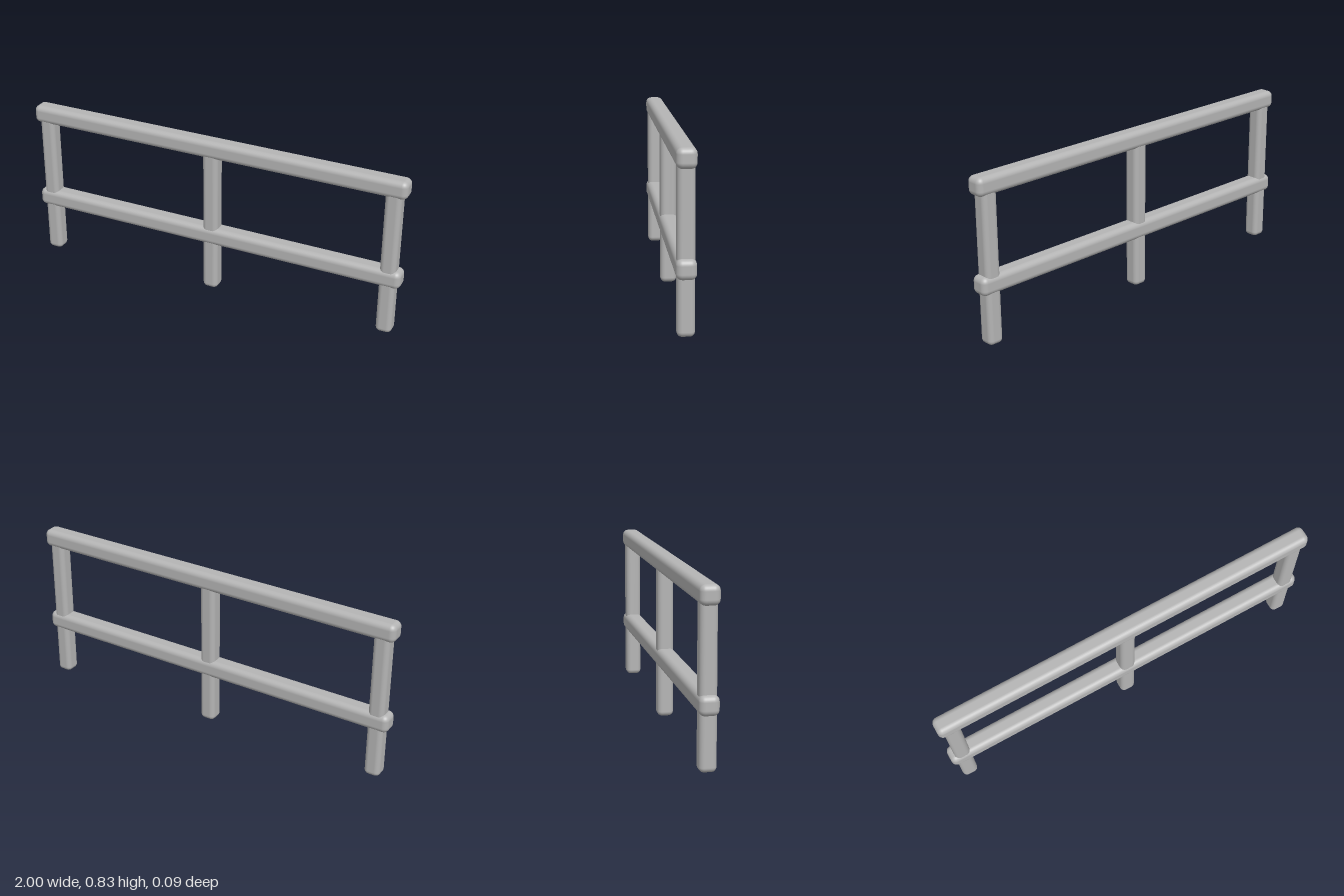
import * as THREE from 'three';
import { RoundedBoxGeometry } from 'three/addons/geometries/RoundedBoxGeometry.js';

const POST = 0.08, RAIL = 0.092;

export function createModel() {
  const group = new THREE.Group();
  group.name = 'fence';
  const grey = new THREE.MeshStandardMaterial({ color: 0xb4b4b4 });
  grey.name = 'grey';

  const addBar = (name, w, h, d, radius, x, y) => {
    const mesh = new THREE.Mesh(new RoundedBoxGeometry(w, h, d, 4, radius), grey);
    mesh.name = name;
    mesh.position.set(x, y, 0);
    group.add(mesh);
  };

  // Upright posts, ending inside the top rail
  const postHeight = 0.79;
  [['rightPost', -0.933], ['middlePost', 0], ['leftPost', 0.933]].forEach(([name, x]) =>
    addBar(name, POST, postHeight, POST, 0.024, x, postHeight / 2));

  // Horizontal rails
  [['lowerRail', 0.303], ['topRail', 0.781]].forEach(([name, y]) =>
    addBar(name, 2, RAIL, RAIL, 0.028, 0, y));

  return group;
}
